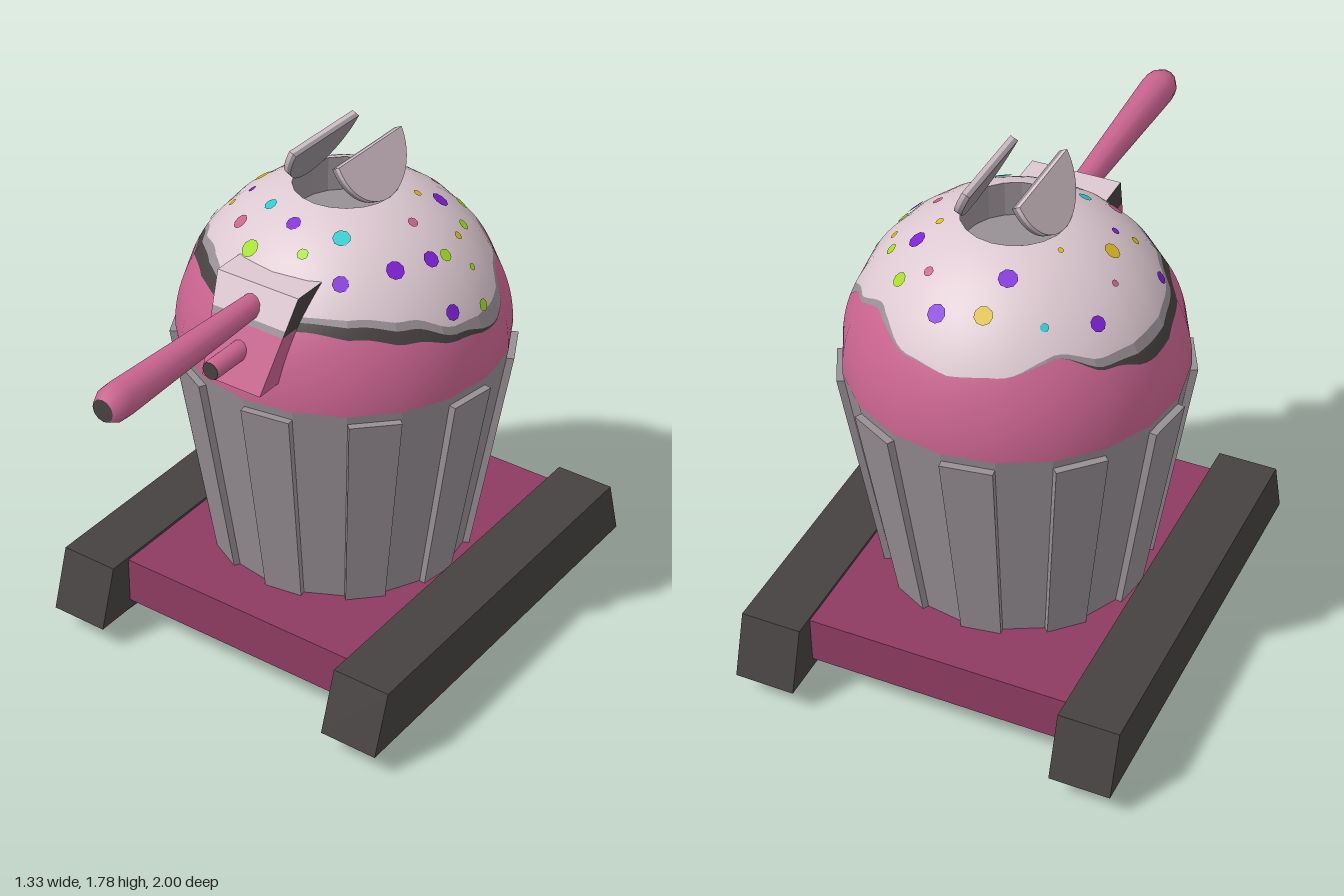
import * as THREE from 'three';

const mat = (name, color, extra = {}) => Object.assign(new THREE.MeshStandardMaterial({ color, ...extra }), { name });
const FLAT = { flatShading: true };

const CZ = -0.23;   // z of the body axis
const CY = 1.09;    // centre height of the dome
const R = 0.557;    // dome radius

// Lower edges of icing, grey rim and dark rim, every 20 degrees from the front towards +x
const EDGES = [
  [1.37, 1.36, 1.33], [1.39, 1.375, 1.35], [1.39, 1.37, 1.335], [1.37, 1.345, 1.305],
  [1.31, 1.285, 1.265], [1.30, 1.24, 1.235], [1.365, 1.35, 1.35], [1.42, 1.40, 1.40],
  [1.36, 1.355, 1.355], [1.345, 1.345, 1.345], [1.36, 1.36, 1.36], [1.41, 1.40, 1.40],
  [1.37, 1.345, 1.335], [1.37, 1.335, 1.29], [1.38, 1.355, 1.315], [1.42, 1.40, 1.355],
  [1.44, 1.41, 1.365], [1.41, 1.39, 1.35],
];
const edge = (k) => (theta) => {
  const f = (theta / (2 * Math.PI)) * EDGES.length;
  const i = Math.floor(f), t = f - i, s = t * t * (3 - 2 * t), n = EDGES.length;
  return EDGES[i % n][k] * (1 - s) + EDGES[(i + 1) % n][k] * s;
};

// Band of the 20-sided, smooth shaded dome between two height functions
function domeBand(top, bottom, rows) {
  const cols = 120, side = Math.PI / 10, pos = [], nor = [], idx = [];
  for (let i = 0; i <= rows; i++) {
    for (let j = 0; j <= cols; j++) {
      const th = (j / cols) * 2 * Math.PI;
      const a = Math.asin((top(th) - CY) / R), b = Math.asin((bottom(th) - CY) / R);
      const e = a + (b - a) * (i / rows);
      const n = [Math.cos(e) * Math.sin(th), Math.sin(e), Math.cos(e) * Math.cos(th)];
      const r = R * Math.cos(side / 2) / Math.cos(((j % 6) / 6) * side - side / 2);
      nor.push(...n);
      pos.push(n[0] * r, CY + n[1] * R, CZ + n[2] * r);
      if (i < rows && j < cols) {
        const p = i * (cols + 1) + j, q = p + cols + 1;
        idx.push(p, q, q + 1, p, q + 1, p + 1);
      }
    }
  }
  const g = new THREE.BufferGeometry();
  g.setAttribute('position', new THREE.Float32BufferAttribute(pos, 3));
  g.setAttribute('normal', new THREE.Float32BufferAttribute(nor, 3));
  g.setIndex(idx);
  return g;
}

// Box whose half width, back and front vary linearly from y0 to y1: lo/hi = [halfWidth, back, front]
function taperBox(y0, y1, lo, hi) {
  const g = new THREE.BoxGeometry(1, 1, 1), p = g.attributes.position;
  for (let i = 0; i < p.count; i++) {
    const s = p.getY(i) > 0 ? hi : lo;
    p.setXYZ(i, p.getX(i) * 2 * s[0], p.getY(i) > 0 ? y1 : y0, p.getZ(i) > 0 ? s[2] : s[1]);
  }
  g.computeVertexNormals();
  return g;
}

// Side profile of [z, y] points, extruded across x about xMid
function sideExtrude(shape, width, xMid) {
  const g = new THREE.ExtrudeGeometry(shape, { depth: width, bevelEnabled: false, curveSegments: 20 });
  return g.rotateY(-Math.PI / 2).translate(xMid + width / 2, 0, 0);
}
const polygon = (pts) => new THREE.Shape(pts.map(([a, b]) => new THREE.Vector2(a, b)));

export function createModel() {
  const model = new THREE.Group();
  model.name = 'cupcakeTank';
  const add = (name, geo, material, parent = model) => {
    const m = new THREE.Mesh(geo, material);
    m.name = name;
    parent.add(m);
    return m;
  };

  const grey = mat('wrapperGrey', 0x978f94, { ...FLAT, side: THREE.DoubleSide });
  const dark = mat('darkGrey', 0x464241);
  const pink = mat('cakePink', 0xc9648f);
  const icing = mat('icingPink', 0xdcc8d0);
  const maroon = mat('hullMaroon', 0x8e3b61, FLAT);
  const purple = mat('purple', 0x7d20d6);
  const lime = mat('lime', 0xa2dc1e);
  const teal = mat('teal', 0x2bcbd0);
  const yellow = mat('yellow', 0xdab920);

  // Hull plate between the tracks
  add('hull', new THREE.BoxGeometry(0.92, 0.17, 1.245).translate(0, 0.205, -0.2375), maroon);

  // Track housings and skids
  const housing = polygon([[0.465, 0.30], [-0.93, 0.30], [-1.0, 0.085], [0.535, 0.085]]);
  const skid = polygon([[0.49, 0.09], [0.48, 0.06], [0.43, 0.035], [0.33, 0.018], [0.15, 0.006], [-0.05, 0],
    [-0.6, 0], [-0.8, 0.01], [-0.88, 0.025], [-0.92, 0.05], [-0.945, 0.09]]);
  for (const s of [-1, 1]) {
    add('trackHousing', sideExtrude(housing, 0.21, s * 0.56), dark);
    add('skid', sideExtrude(skid, 0.09, s * 0.555), grey);
  }

  // Pleated wrapper: 20-sided cup with a raised panel on every other side
  add('wrapper', new THREE.CylinderGeometry(0.557, 0.432, 0.8, 20, 1, true).translate(0, 0.69, CZ), grey);
  const panel = taperBox(0.29, 1.06, [0.067, 0.41, 0.449], [0.085, 0.53, 0.571]);
  for (let k = 0; k < 10; k++) {
    const m = add('wrapperPanel', panel, grey);
    m.position.z = CZ;
    m.rotation.y = THREE.MathUtils.degToRad(9 + 36 * k);
  }

  // Dome: icing, its two rims, and the cake below
  add('icing', domeBand(() => 1.62, edge(0), 14), icing);
  add('icingRim', domeBand(edge(0), edge(1), 1), grey);
  add('icingShadowRim', domeBand(edge(1), edge(2), 1), dark);
  add('cake', domeBand(edge(2), () => CY, 10), pink);

  // Hatch well and its two half-round doors
  add('hatchWall', new THREE.CylinderGeometry(0.171, 0.171, 0.12, 20, 1, true).translate(0, 1.56, CZ), grey);
  add('hatchFloor', new THREE.CircleGeometry(0.171, 20).rotateX(-Math.PI / 2).translate(0, 1.5, CZ), grey);
  const half = new THREE.Shape().absarc(0, 0.173, 0.173, Math.PI, 2 * Math.PI, false);
  for (const turn of [0, Math.PI]) {
    const side = new THREE.Group();
    side.name = 'hatchDoor';
    side.position.set(0, 1.62, CZ);
    side.rotation.y = turn;
    const leaf = new THREE.Group();
    leaf.name = 'doorLeaf';
    leaf.position.x = 0.17;
    leaf.rotation.z = 0.45;
    add('doorOuter', sideExtrude(half, 0.014, -0.007), icing, leaf);
    add('doorInner', sideExtrude(half, 0.014, -0.021), grey, leaf);
    side.add(leaf);
    model.add(side);
  }

  // Gun mount, stacked in three colour layers
  const lo = [0.112, 0.25, 0.398], hi = [0.155, 0.13, 0.253];
  const at = (y) => lo.map((v, i) => v + (hi[i] - v) * (y - 1.18) / 0.3);
  const layer = (y0, y1) => taperBox(y0, y1, at(y0), at(y1)).translate(0.008, 0, 0);
  add('mountBase', layer(1.18, 1.36), pink);
  add('mountStripe', layer(1.36, 1.38), [dark, dark, grey, grey, grey, grey]);
  add('mountTop', layer(1.38, 1.48), [dark, dark, icing, icing, icing, icing]);

  // Main and secondary guns, turned about z
  const turned = (pts, y) => new THREE.LatheGeometry(pts.map(([r, z]) => new THREE.Vector2(r, z)), 12)
    .rotateX(Math.PI / 2).translate(0, y, 0);
  const muzzle = (r, y, z) => new THREE.CircleGeometry(r, 12).translate(0, y, z);
  add('barrel', turned([[0.037, 0.2], [0.04, 0.3], [0.06, 0.92], [0.058, 0.96], [0.04, 0.998], [0, 0.998]], 1.41), pink);
  add('barrelBore', muzzle(0.038, 1.41, 1.0), dark);
  add('smallGun', turned([[0.033, 0.25], [0.033, 0.485], [0, 0.485]], 1.28), pink);
  add('smallGunBore', muzzle(0.03, 1.28, 0.49), dark);

  // Sprinkles: [x, z, radius] per colour, laid on the dome
  const sprinkles = [
    [purple, [[0.08, -0.62, 0.031], [-0.095, -0.49, 0.031], [-0.365, -0.44, 0.026], [0.25, -0.4, 0.03],
      [0.375, -0.16, 0.028], [0.325, -0.035, 0.031], [-0.015, 0.03, 0.025], [0.217, 0.105, 0.027],
      [-0.28, -0.11, 0.014], [0.48, -0.13, 0.027], [-0.43, -0.1, 0.022]]],
    [yellow, [[-0.065, -0.6, 0.03], [-0.31, -0.205, 0.028], [-0.33, -0.07, 0.015], [0.205, -0.335, 0.014],
      [0.365, -0.33, 0.015], [-0.195, -0.33, 0.01]]],
    [lime, [[0.25, -0.525, 0.025], [0.34, -0.4, 0.02], [0.39, -0.22, 0.022], [0.07, 0.1, 0.019],
      [-0.115, 0.125, 0.032], [0.505, -0.27, 0.021], [0.44, -0.3, 0.013]]],
    [teal, [[-0.24, -0.55, 0.014], [-0.14, -0.02, 0.022], [0.15, 0.005, 0.029]]],
    [pink, [[0.155, -0.515, 0.017], [0.275, -0.205, 0.018], [-0.215, 0.04, 0.027], [-0.36, -0.3, 0.012]]],
  ];
  const zAxis = new THREE.Vector3(0, 0, 1);
  for (const [material, spots] of sprinkles) {
    for (const [x, z, r] of spots) {
      const dz = z - CZ;
      const n = new THREE.Vector3(x, Math.sqrt(R * R - x * x - dz * dz), dz).normalize();
      const m = add('sprinkle', new THREE.CircleGeometry(r, 9), material);
      m.quaternion.setFromUnitVectors(zAxis, n);
      m.position.copy(n).multiplyScalar(R + 0.003).add(new THREE.Vector3(0, CY, CZ));
    }
  }
  return model;
}
